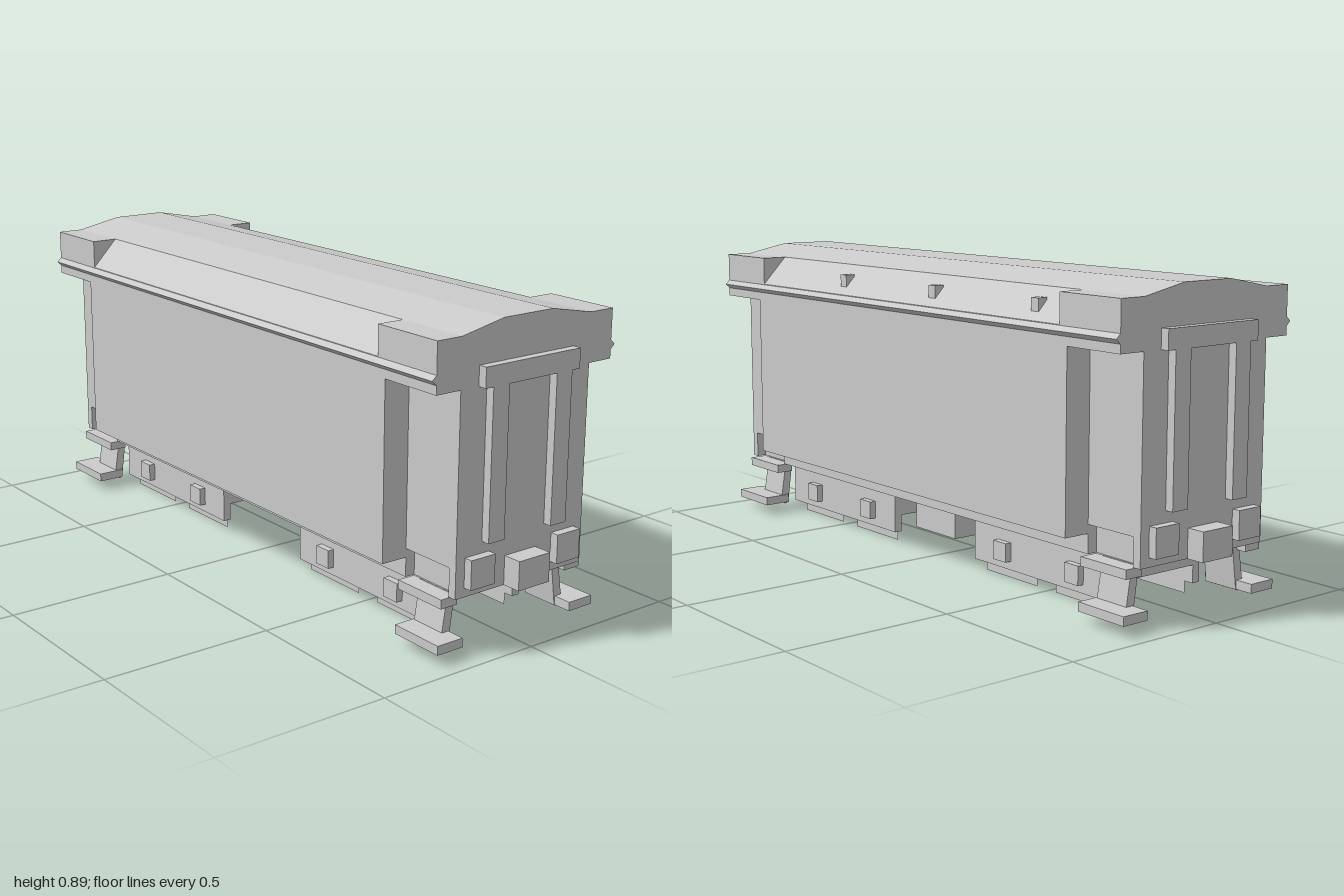
import * as THREE from 'three';

const mat = new THREE.MeshStandardMaterial({ color: 0xcccccc, flatShading: true });
const sheetMat = new THREE.MeshStandardMaterial({ color: 0xcccccc, flatShading: true, side: THREE.DoubleSide });

// Box given by its limits on each axis
function box(parent, name, x0, x1, y0, y1, z0, z1) {
  const mesh = new THREE.Mesh(new THREE.BoxGeometry(Math.abs(x1 - x0), y1 - y0, Math.abs(z1 - z0)), mat);
  mesh.position.set((x0 + x1) / 2, (y0 + y1) / 2, (z0 + z1) / 2);
  mesh.name = name;
  parent.add(mesh);
  return mesh;
}

// Prism along x with a [z, y] cross-section
function prism(parent, name, profile, x0, x1) {
  const shape = new THREE.Shape(profile.map(([z, y]) => new THREE.Vector2(-z, y)));
  const geo = new THREE.ExtrudeGeometry(shape, { depth: x1 - x0, bevelEnabled: false });
  geo.rotateY(Math.PI / 2);
  geo.translate(x0, 0, 0);
  const mesh = new THREE.Mesh(geo, mat);
  mesh.name = name;
  parent.add(mesh);
  return mesh;
}

// Full outline from its +z half
const mirrored = (half) => [...half, ...half.slice().reverse().map(([z, y]) => [-z, y])];

function addGroup(parent, name) {
  const g = new THREE.Group();
  g.name = name;
  parent.add(g);
  return g;
}

function buildBody(parent) {
  const g = addGroup(parent, 'body');
  box(g, 'mainBody', -0.75, 0.75, 0.225, 0.74, -0.305, 0.305);
  box(g, 'underframe', -0.75, 0.75, 0.17, 0.225, -0.225, 0.225);
  for (const s of [-1, 1]) {
    box(g, 'endSection', s * 0.75, s * 0.945, 0.25, 0.74, -0.225, 0.225);
    // Lower end, recessed beside the steps
    box(g, 'endBase', s * 0.75, s * 0.945, 0.17, 0.25, -0.195, 0.195);
    for (const t of [-1, 1]) box(g, 'endCorner', s * 0.92, s * 0.945, 0.17, 0.25, t * 0.195, t * 0.225);
  }
}

function buildRoof(parent) {
  const g = addGroup(parent, 'roof');
  const crown = [[0.225, 0.862], [0.085, 0.89]];
  // Sloped middle with square shoulders at both ends
  prism(g, 'roofMiddle', mirrored([[0.305, 0.725], [0.305, 0.778], ...crown]), -0.72, 0.72);
  const ends = mirrored([[0.305, 0.725], [0.305, 0.862], ...crown]);
  prism(g, 'roofEnd', ends, -0.945, -0.72);
  prism(g, 'roofEnd', ends, 0.72, 0.945);
  // Pointed rain strips
  for (const s of [-1, 1]) {
    const strip = [[s * 0.305, 0.75], [s * 0.319, 0.763], [s * 0.305, 0.776]];
    prism(g, 'rainStrip', strip, -0.945, 0.945);
  }
  // Small blocks on the rear slope
  for (const x of [-0.6, -0.155, 0.29]) box(g, 'roofBlock', x - 0.015, x + 0.015, 0.8, 0.836, -0.285, -0.255);
}

// Gangway frame, buffers and coupler at one end
function buildEnd(parent, s) {
  const g = addGroup(parent, 'endFittings');
  box(g, 'gangwayTop', s * 0.945, s * 0.97, 0.725, 0.78, -0.165, 0.165);
  for (const t of [-1, 1]) {
    box(g, 'gangwayPost', s * 0.945, s * 0.97, 0.31, 0.725, t * 0.083, t * 0.138);
    box(g, 'buffer', s * 0.945, s * 0.97, 0.196, 0.278, t * 0.112, t * 0.195);
  }
  box(g, 'coupler', s * 0.945, s, 0.17, 0.252, -0.055, 0.055);
}

// Boarding steps on a slanted bracket
function buildSteps(parent, s, t) {
  const g = addGroup(parent, 'boardingSteps');
  box(g, 'upperStep', s * 0.75, s * 0.92, 0.142, 0.168, t * 0.195, t * 0.25);
  box(g, 'lowerStep', s * 0.775, s * 0.945, 0.031, 0.057, t * 0.195, t * 0.28);
  const bracket = [[0.175, 0.17], [0.2, 0.17], [0.218, 0.057], [0.204, 0.026], [0.194, 0.03]];
  const [a, b] = [s * 0.78, s * 0.89].sort((p, q) => p - q);
  prism(g, 'stepBracket', bracket.map(([z, y]) => [t * z, y]), a, b);
}

function buildBogie(parent, s) {
  const g = addGroup(parent, 'bogie');
  box(g, 'bogieTop', s * 0.2, s * 0.78, 0.11, 0.17, -0.14, 0.14);
  box(g, 'bogieEndBeam', s * 0.2, s * 0.225, 0.085, 0.11, -0.14, 0.14);
  box(g, 'bogieEndBeam', s * 0.755, s * 0.78, 0.085, 0.11, -0.14, 0.14);
  for (const t of [-1, 1]) box(g, 'sideFrame', s * 0.2, s * 0.78, 0.033, 0.17, t * 0.14, t * 0.165);
  for (const x of [0.335, 0.64]) {
    box(g, 'axle', s * (x - 0.03), s * (x + 0.03), 0.057, 0.11, -0.14, 0.14);
    for (const t of [-1, 1]) {
      box(g, 'axleBox', s * (x - 0.028), s * (x + 0.028), 0.058, 0.113, t * 0.165, t * 0.185);
      // Thin wheel plate showing below the side frame
      const wheel = new THREE.Mesh(new THREE.PlaneGeometry(0.225, 0.11), sheetMat);
      wheel.position.set(s * x, 0.055, t * 0.138);
      wheel.name = 'wheelPlate';
      g.add(wheel);
    }
  }
}

export function createModel() {
  const model = new THREE.Group();
  model.name = 'railCar';
  buildBody(model);
  buildRoof(model);
  for (const s of [-1, 1]) {
    buildEnd(model, s);
    buildBogie(model, s);
    for (const t of [-1, 1]) buildSteps(model, s, t);
  }
  // Equipment box hung under the rear side
  box(model, 'equipmentBox', -0.06, 0.135, 0.058, 0.17, -0.13, 0);
  return model;
}
